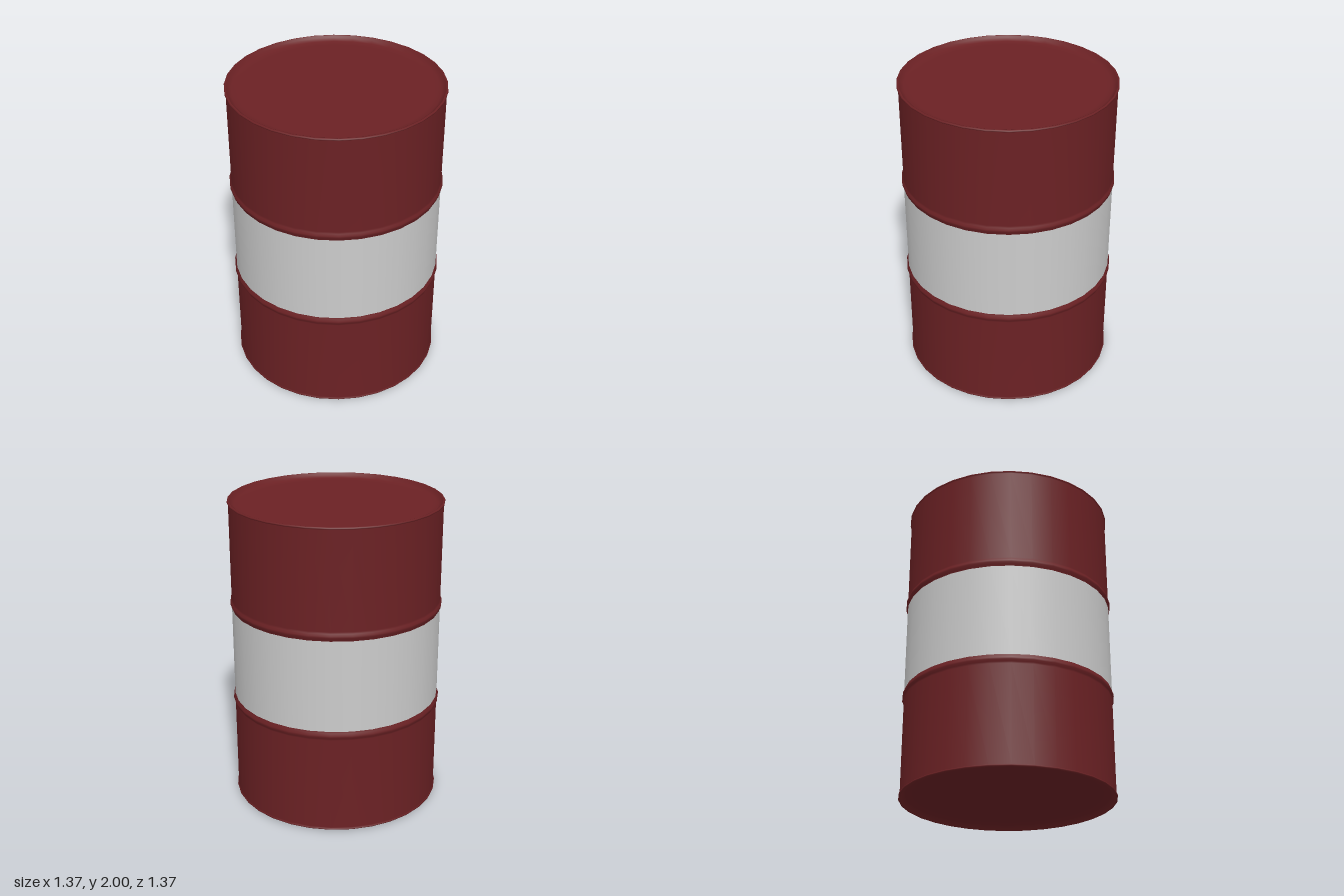
import * as THREE from 'three';

const SIDES = 32;
const HEIGHT = 2;
const RADIUS = 0.675;

// Lathe running up the outside; the profile is a list of [radius, height]
function turned(name, profile, material) {
  const points = profile.map(([r, y]) => new THREE.Vector2(r, y));
  const mesh = new THREE.Mesh(new THREE.LatheGeometry(points, SIDES), material);
  mesh.name = name;
  return mesh;
}

export function createModel() {
  const group = new THREE.Group();
  group.name = 'barrel';

  const red = new THREE.MeshStandardMaterial({ color: 0x6b2124 });
  const grey = new THREE.MeshStandardMaterial({ color: 0xcccccc });

  // Lower end: recessed disc, rolled rim, wall and raised hoop
  const endProfile = [
    [0, 0.035], [0.6, 0.035], [0.64, 0.03], [0.662, 0.015],
    [0.668, 0.002], [0.675, 0], [0.682, 0.004], [0.682, 0.011], [RADIUS, 0.016],
    [RADIUS, 0.64], [0.678, 0.652], [0.685, 0.664], [0.685, 0.676],
    [0.678, 0.69], [RADIUS, 0.7],
  ];
  // The upper end is the same profile turned upside down
  const topProfile = endProfile.map(([r, y]) => [r, HEIGHT - y]).reverse();

  group.add(turned('lowerShell', endProfile, red));
  group.add(turned('upperShell', topProfile, red));

  // Plain band between the hoops
  group.add(turned('middleBand', [[RADIUS, 0.7], [RADIUS, 1.3]], grey));

  return group;
}
